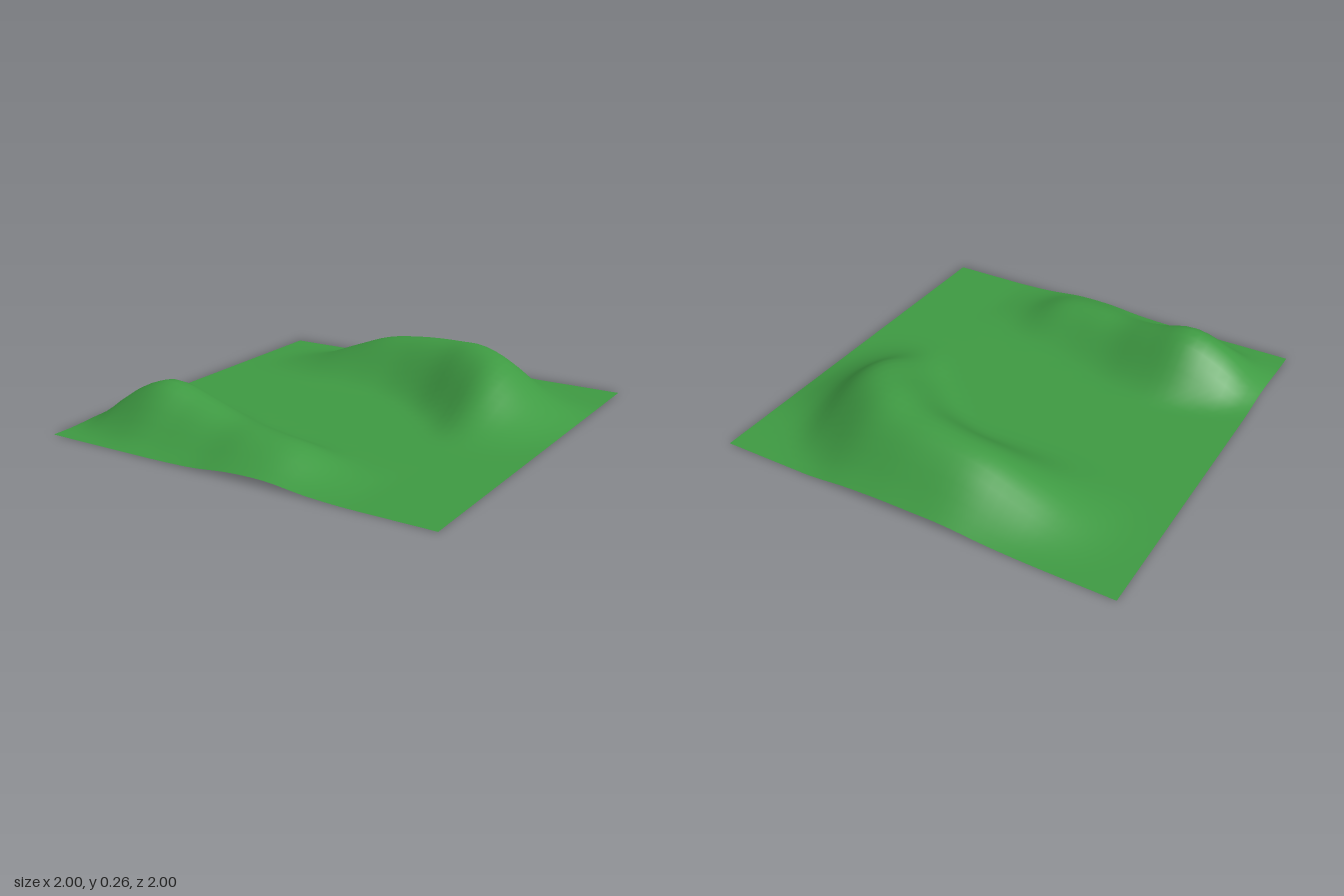
import * as THREE from 'three';

// Smooth curve through values evenly spaced over x = -1 .. 1
function along(values) {
  const n = values.length - 1;
  const curve = new THREE.SplineCurve(values.map((v, i) => new THREE.Vector2(-1 + (2 * i) / n, v)));
  return (x) => curve.getPoint(THREE.MathUtils.clamp((x + 1) / 2, 0, 1)).y;
}

// A ridge running along x: crest height, crest z, and reach towards front and back
function ridge(height, crest, frontReach, backReach) {
  const [h, c, f, b] = [height, crest, frontReach, backReach].map(along);
  return (x, z) => {
    const d = z - c(x);
    const t = Math.min(1, Math.abs(d) / (d > 0 ? f(x) : b(x)));
    return Math.max(0, h(x)) * Math.cos((t * Math.PI) / 2) ** 2;
  };
}

export function createModel() {
  const group = new THREE.Group();
  group.name = 'terrain';

  // Long hill at the back, bending forward on its +x side
  const backHill = ridge(
    [0, 0.01, 0.055, 0.13, 0.2, 0.23, 0.245, 0.26, 0.222, 0.08, 0],
    [-0.66, -0.66, -0.67, -0.68, -0.69, -0.68, -0.65, -0.57, -0.45, -0.4, -0.4],
    [0.3, 0.34, 0.38, 0.4, 0.4, 0.4, 0.46, 0.56, 0.64, 0.62, 0.55],
    [0.34, 0.34, 0.36, 0.38, 0.4, 0.41, 0.44, 0.5, 0.53, 0.45, 0.4]
  );

  // Round hill at the front with a lower shoulder trailing towards +x
  const frontHill = ridge(
    [0.015, 0.155, 0.235, 0.187, 0.135, 0.125, 0.105, 0.03, 0, 0, 0],
    [0.64, 0.64, 0.64, 0.65, 0.69, 0.74, 0.76, 0.77, 0.77, 0.77, 0.77],
    [0.3, 0.34, 0.37, 0.37, 0.36, 0.37, 0.37, 0.36, 0.36, 0.36, 0.36],
    [0.28, 0.34, 0.39, 0.38, 0.36, 0.35, 0.33, 0.3, 0.3, 0.3, 0.3]
  );

  // Thin ground sheet raised by the two hills
  const geometry = new THREE.PlaneGeometry(2, 2, 40, 40).rotateX(-Math.PI / 2);
  const pos = geometry.attributes.position;
  for (let i = 0; i < pos.count; i++) {
    const x = pos.getX(i), z = pos.getZ(i);
    pos.setY(i, backHill(x, z) + frontHill(x, z));
  }
  geometry.computeVertexNormals();

  const grass = new THREE.MeshStandardMaterial({ color: 0x3f9b43, side: THREE.DoubleSide });
  const ground = new THREE.Mesh(geometry, grass);
  ground.name = 'hillyGround';
  group.add(ground);
  return group;
}
